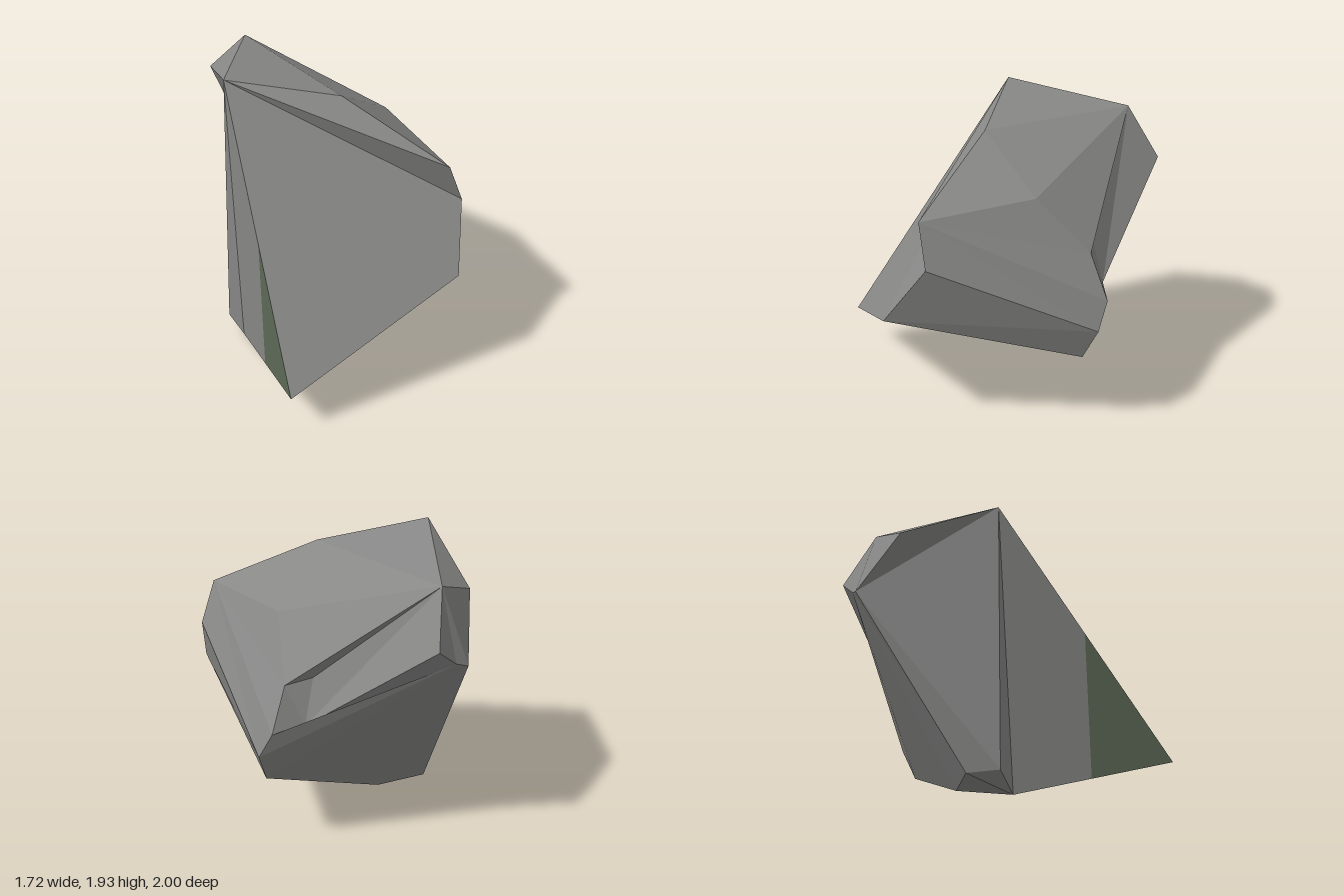
import * as THREE from 'three';

// Corners of the boulder
const corners = {
  peak: [-0.56, 1.93, -0.25], topFront: [0, 1.82, 0.18], topBack: [0, 1.82, -0.84],
  shoulder: [0.46, 1.52, 0.06], browTop: [0.36, 1.47, 0.78], browLow: [0.47, 1.2, 0.79],
  nose: [0.28, 0.82, 1.0], toe: [-0.86, 0.29, 0.79], foot: [-0.56, 0, -0.16],
  sideLow: [0.76, 0.53, -0.12], sideMid: [0.86, 0.75, -0.17], sideTop: [0.82, 0.925, -0.25],
  chipFront: [0.67, 1.19, -0.21], chipTop: [0.52, 1.22, -0.3], chipBack: [0.62, 0.94, -0.33],
  backHigh: [0.17, 1.5, -0.98], backMid: [0.01, 1.37, -0.98], backLow: [-0.08, 1.33, -1.0],
  backLeft: [-0.3, 1.7, -0.81], heelRight: [-0.1, 0.145, -0.28], heelBack: [-0.43, 0.13, -0.4],
  heelLeft: [-0.6, 0.12, -0.27],
};
const points = {};
for (const name in corners) points[name] = new THREE.Vector3(...corners[name]);
// Where the mossy corner begins on the two edges of the left side
points.mossTop = points.peak.clone().lerp(points.toe, 0.51);
points.mossLow = points.foot.clone().lerp(points.toe, 0.48);

const centre = new THREE.Vector3(0, 0.95, 0);

// Turns facets into flat triangles that all face outward
function facets(list) {
  const out = [];
  for (const facet of list) {
    const p = facet.split(' ').map((name) => points[name]);
    for (let i = 1; i < p.length - 1; i++) {
      const t = new THREE.Triangle(p[0], p[i], p[i + 1]);
      const outward = t.getMidpoint(new THREE.Vector3()).sub(centre);
      const flip = t.getNormal(new THREE.Vector3()).dot(outward) < 0;
      out.push(...(flip ? [t.a, t.c, t.b] : [t.a, t.b, t.c]));
    }
  }
  const geometry = new THREE.BufferGeometry().setFromPoints(out);
  geometry.computeVertexNormals();
  return geometry;
}

export function createModel() {
  const group = new THREE.Group();
  group.name = 'boulder';

  const stone = new THREE.MeshStandardMaterial({ color: 0x888987 });
  stone.name = 'grey stone';
  const moss = new THREE.MeshStandardMaterial({ color: 0x5e6a58 });
  moss.name = 'moss green';

  const add = (name, list, material) => {
    const mesh = new THREE.Mesh(facets(list), material);
    mesh.name = name;
    group.add(mesh);
  };

  // Front slab and the bevels beside it
  add('front', [
    'peak toe nose browLow browTop topFront',
    'nose browLow sideMid sideLow',
  ], stone);

  // Crown
  add('crown', [
    'peak topFront topBack',
    'topFront shoulder topBack',
    'topFront browTop shoulder',
    'peak topBack backLeft',
  ], stone);

  // Side with the chipped edge
  add('chippedSide', [
    'browTop shoulder chipFront sideTop sideMid browLow',
    'topBack shoulder chipFront chipTop chipBack backHigh',
    'chipFront chipTop chipBack sideTop',
  ], stone);

  // Back
  add('back', [
    'topBack backHigh backMid backLow backLeft',
    'backMid backHigh chipBack sideTop sideMid',
    'backMid sideMid sideLow heelRight heelBack',
    'backLow backMid heelBack heelLeft',
  ], stone);

  // Flat left side with its mossy corner
  add('leftSide', [
    'peak mossTop mossLow foot heelLeft',
    'peak heelLeft backLow backLeft',
  ], stone);
  add('mossPatch', ['mossTop toe mossLow'], moss);

  // Underside
  add('underside', [
    'nose toe foot sideLow',
    'foot sideLow heelRight',
    'foot heelRight heelBack heelLeft',
  ], stone);

  return group;
}
